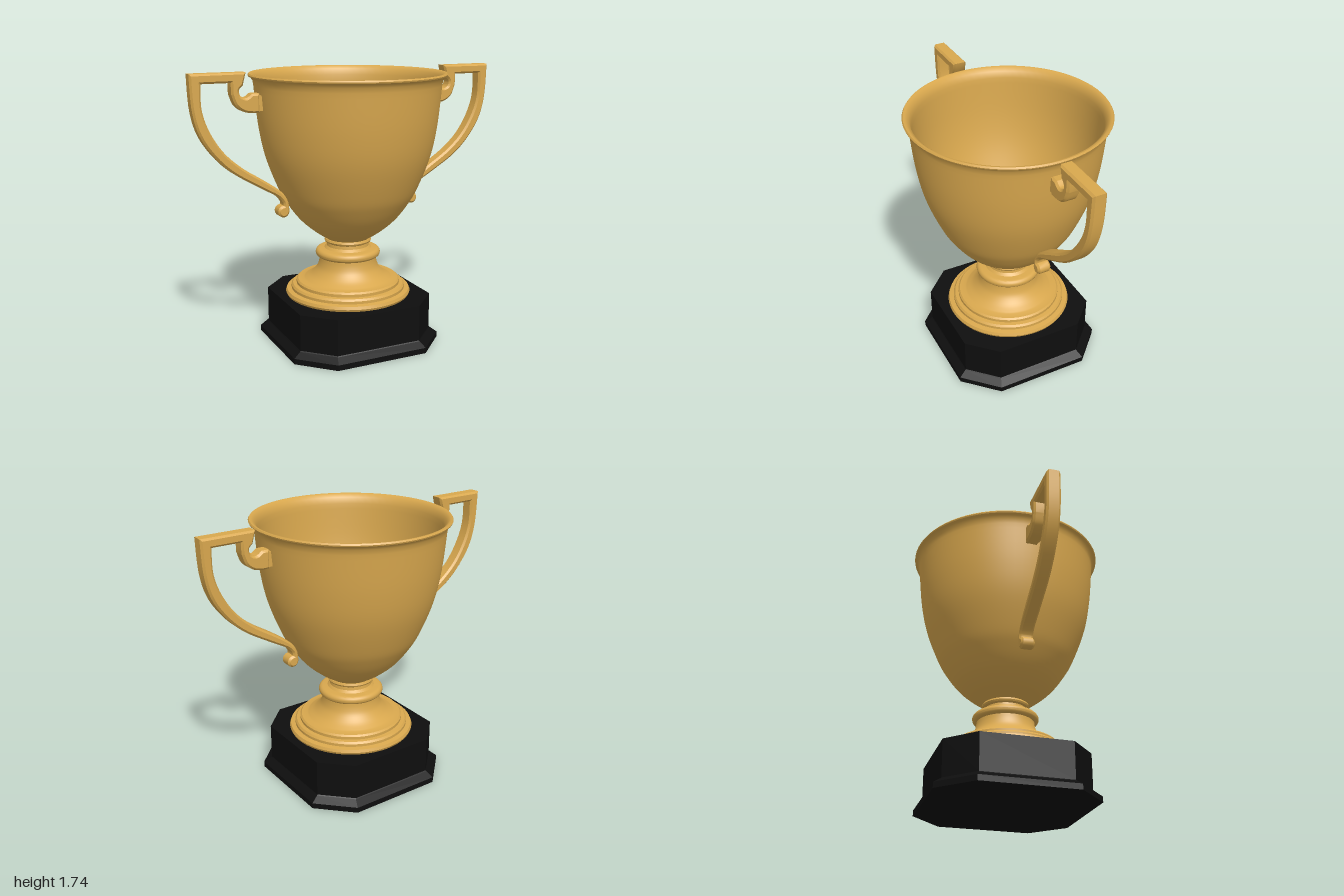
import * as THREE from 'three';
import { toCreasedNormals } from 'three/addons/utils/BufferGeometryUtils.js';

const gold = new THREE.MeshStandardMaterial({ color: 0xd9a84e });
gold.name = 'gold';
const black = new THREE.MeshStandardMaterial({ color: 0x0e0e0e });
black.name = 'black';

const vecs = (pts) => pts.map(([x, y]) => new THREE.Vector2(x, y));

function part(name, geometry, material) {
  const mesh = new THREE.Mesh(geometry, material);
  mesh.name = name;
  return mesh;
}

function lathe(points) {
  return toCreasedNormals(new THREE.LatheGeometry(points, 72), 0.6);
}

// Square outline with cut corners, keeping an even inset as it narrows
function cutSquare(half, y) {
  const c = 0.3 - (0.5 - half) * (Math.SQRT2 - 1);
  return [[half, -c], [half, c], [c, half], [-c, half], [-half, c], [-half, -c], [-c, -half], [c, -half]]
    .map(([x, z]) => [x, y, z]);
}

// Plinth: stacked cut-square loops, closed top and bottom
function plinthGeometry() {
  const loops = [[0.5, 0], [0.5, 0.035], [0.455, 0.065], [0.45, 0.07], [0.45, 0.3]]
    .map(([half, y]) => cutSquare(half, y));
  const pos = [];
  const tri = (a, b, c) => pos.push(...a, ...b, ...c);
  const top = loops[loops.length - 1];
  for (let i = 0; i < 8; i++) {
    const j = (i + 1) % 8;
    for (let k = 0; k < loops.length - 1; k++) {
      const lo = loops[k], hi = loops[k + 1];
      tri(lo[i], hi[i], hi[j]);
      tri(lo[i], hi[j], lo[j]);
    }
    tri([0, 0, 0], loops[0][i], loops[0][j]);
    tri([0, 0.3, 0], top[j], top[i]);
  }
  const geo = new THREE.BufferGeometry();
  geo.setAttribute('position', new THREE.Float32BufferAttribute(pos, 3));
  geo.computeVertexNormals();
  return geo;
}

// Foot and stem: three steps, flared neck, ring and collar
function stemGeometry() {
  const steps = vecs([
    [0, 0.3], [0.395, 0.3], [0.402, 0.315], [0.395, 0.333], [0.365, 0.338], [0.365, 0.355],
    [0.355, 0.367], [0.332, 0.37], [0.332, 0.388], [0.322, 0.398], [0.285, 0.4],
  ]);
  const flare = new THREE.SplineCurve(vecs([
    [0.275, 0.405], [0.235, 0.43], [0.2, 0.47], [0.185, 0.51], [0.18, 0.545],
  ])).getPoints(14);
  const ring = [];
  for (let i = 0; i <= 10; i++) {
    const a = -Math.PI / 2 + (Math.PI * i) / 10;
    ring.push(new THREE.Vector2(0.18 + 0.027 * Math.cos(a), 0.57 + 0.027 * Math.sin(a)));
  }
  const collar = vecs([
    [0.15, 0.6], [0.135, 0.615], [0.132, 0.635], [0.145, 0.642], [0.15, 0.652], [0.145, 0.664], [0, 0.664],
  ]);
  return lathe([...steps, ...flare, ...ring, ...collar]);
}

// Bowl: outer wall, rolled lip, inner wall
function bowlGeometry() {
  const outer = new THREE.SplineCurve(vecs([
    [0.13, 0.66], [0.22, 0.72], [0.31, 0.8], [0.385, 0.9], [0.44, 1], [0.515, 1.2], [0.555, 1.4], [0.578, 1.64],
  ])).getPoints(36);
  const lip = vecs([
    [0.583, 1.67], [0.595, 1.687], [0.608, 1.695], [0.611, 1.703], [0.605, 1.712], [0.592, 1.71], [0.57, 1.69],
  ]);
  const inner = new THREE.SplineCurve(vecs([
    [0.56, 1.65], [0.537, 1.4], [0.495, 1.2], [0.42, 1], [0.365, 0.9], [0.285, 0.8], [0.16, 0.71], [0, 0.68],
  ])).getPoints(36);
  return lathe([new THREE.Vector2(0, 0.66), ...outer, ...lip, ...inner]);
}

// Handle outline: squared top, hook to the bowl, long sweep down to a scroll
function handleGeometry() {
  const s = new THREE.Shape();
  s.moveTo(0.585, 1.5);
  s.lineTo(0.62, 1.497);
  s.splineThru(vecs([[0.68, 1.507], [0.73, 1.545], [0.756, 1.61]]));
  s.lineTo(0.757, 1.677);
  s.lineTo(0.934, 1.677);
  s.splineThru(vecs([
    [0.932, 1.53], [0.89, 1.4], [0.81, 1.275], [0.7, 1.175], [0.57, 1.09],
    [0.465, 1.015], [0.42, 0.95], [0.41, 0.885],
  ]));
  s.absarc(0.447, 0.885, 0.037, Math.PI, Math.PI * 2.5, false);
  s.splineThru(vecs([[0.452, 0.945], [0.49, 0.985], [0.596, 1.047], [0.757, 1.147], [0.865, 1.25], [0.95, 1.38], [0.99, 1.53], [1, 1.735]]));
  s.lineTo(0.665, 1.735);
  s.lineTo(0.685, 1.66);
  s.splineThru(vecs([[0.708, 1.635], [0.7, 1.6], [0.665, 1.587], [0.63, 1.61]]));
  s.lineTo(0.585, 1.61);
  s.closePath();
  const bevel = 0.012;
  const geo = new THREE.ExtrudeGeometry(s, {
    depth: 0.086 - 2 * bevel, curveSegments: 5, bevelEnabled: true,
    bevelThickness: bevel, bevelSize: bevel, bevelOffset: -bevel, bevelSegments: 1,
  });
  geo.translate(0, 0, -0.043 + bevel);
  return toCreasedNormals(geo, 0.6);
}

export function createModel() {
  const trophy = new THREE.Group();
  trophy.name = 'trophyCup';
  trophy.add(part('plinth', plinthGeometry(), black));
  trophy.add(part('stem', stemGeometry(), gold));
  trophy.add(part('bowl', bowlGeometry(), gold));

  const handleGeo = handleGeometry();
  const mountGeo = new THREE.BoxGeometry(0.05, 0.09, 0.07);
  ['leftHandle', 'rightHandle'].forEach((name, i) => {
    const group = new THREE.Group();
    group.name = name;
    group.add(part('handleArm', handleGeo, gold));
    // Short block joining the handle to the bowl
    const mount = part('handleMount', mountGeo, gold);
    mount.position.set(0.585, 1.553, 0);
    group.add(mount);
    group.rotation.y = i * Math.PI;
    trophy.add(group);
  });
  return trophy;
}
